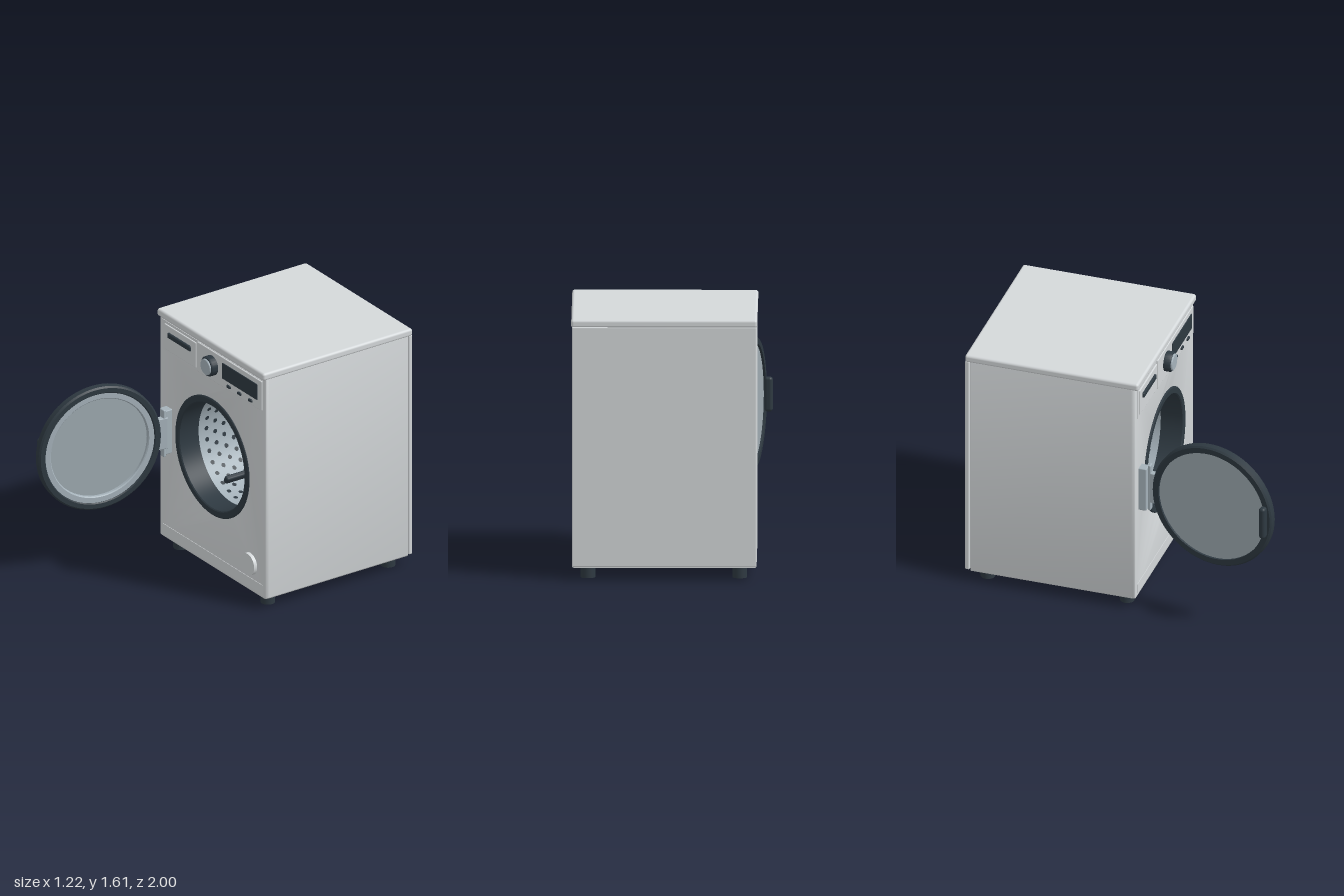
import * as THREE from 'three';
import { mergeGeometries, toCreasedNormals } from 'three/addons/utils/BufferGeometryUtils.js';
import { RoundedBoxGeometry } from 'three/addons/geometries/RoundedBoxGeometry.js';

const CX = 0.04; // cabinet centre line
const DOOR_Y = 0.822;

function material(name, color, side = THREE.FrontSide) {
  const m = new THREE.MeshStandardMaterial({ color, side });
  m.name = name;
  return m;
}

// Rounded rectangle outline, used for both shapes and holes
function roundedRect(path, x0, y0, x1, y1, r) {
  path.moveTo(x0 + r, y0);
  path.lineTo(x1 - r, y0);
  path.absarc(x1 - r, y0 + r, r, -Math.PI / 2, 0);
  path.lineTo(x1, y1 - r);
  path.absarc(x1 - r, y1 - r, r, 0, Math.PI / 2);
  path.lineTo(x0 + r, y1);
  path.absarc(x0 + r, y1 - r, r, Math.PI / 2, Math.PI);
  path.lineTo(x0, y0 + r);
  path.absarc(x0 + r, y0 + r, r, Math.PI, Math.PI * 1.5);
  return path;
}

function lathe(points, segments = 72) {
  const profile = points.map(([r, y]) => new THREE.Vector2(r, y));
  return toCreasedNormals(new THREE.LatheGeometry(profile, segments), 0.6);
}

export function createModel() {
  const model = new THREE.Group();
  model.name = 'washingMachine';

  const white = material('white enamel', 0xd4d8da);
  const dark = material('dark plastic', 0x2e3941);
  const steel = material('steel', 0xa5b2ba, THREE.DoubleSide);
  const glass = material('door glass', 0x9eaab1);

  function add(parent, name, geometry, mat, x = 0, y = 0, z = 0) {
    const mesh = new THREE.Mesh(geometry, mat);
    mesh.name = name;
    mesh.position.set(x, y, z);
    parent.add(mesh);
    return mesh;
  }

  // Box given by its two opposite corners
  function block(parent, name, mat, [x0, y0, z0], [x1, y1, z1], r = 0) {
    const size = [x1 - x0, y1 - y0, z1 - z0];
    const geo = r ? new RoundedBoxGeometry(...size, 3, r) : new THREE.BoxGeometry(...size);
    return add(parent, name, geo, mat, (x0 + x1) / 2, (y0 + y1) / 2, (z0 + z1) / 2);
  }

  // Cabinet: wrap-around shell, front with door opening, back panel and worktop
  const cabinet = new THREE.Group();
  cabinet.name = 'cabinet';
  model.add(cabinet);

  const shell = roundedRect(new THREE.Shape(), -0.525, 0.07, 0.605, 1.58, 0.015);
  shell.holes.push(roundedRect(new THREE.Path(), -0.5, 0.095, 0.58, 1.555, 0.005));
  add(cabinet, 'shell', toCreasedNormals(new THREE.ExtrudeGeometry(shell, {
    depth: 1.04, bevelEnabled: false, curveSegments: 4,
  }), 0.6), white, 0, 0, -0.965);

  const front = roundedRect(new THREE.Shape(), -0.515, 0.08, 0.595, 1.57, 0.01);
  front.holes.push(new THREE.Path().absarc(CX, DOOR_Y, 0.38, 0, Math.PI * 2, true));
  add(cabinet, 'frontPanel', toCreasedNormals(new THREE.ExtrudeGeometry(front, {
    depth: 0.015, bevelSize: 0.01, bevelThickness: 0.01, bevelSegments: 3, curveSegments: 36,
  }), 0.6), white, 0, 0, 0.072);

  block(cabinet, 'backSeam', white, [-0.51, 0.085, -0.98], [0.59, 1.57, -0.95]);
  block(cabinet, 'backPanel', white, [-0.525, 0.08, -1], [0.605, 1.57, -0.972], 0.008);
  block(cabinet, 'worktop', white, [-0.529, 1.563, -1], [0.609, 1.613, 0.117], 0.016);
  block(cabinet, 'plinth', white, [-0.49, 0.1, 0.09], [0.577, 0.16, 0.1]);

  // Feet
  for (const x of [-0.422, 0.507]) {
    for (const z of [0.013, -0.885]) {
      add(model, 'foot', new THREE.CylinderGeometry(0.045, 0.045, 0.08, 32), dark, x, 0.04, z);
    }
  }

  // Pump filter cover
  const cover = add(model, 'filterCover', new THREE.CylinderGeometry(0.07, 0.072, 0.025, 48), white, 0.442, 0.257, 0.106);
  cover.rotation.x = Math.PI / 2;

  // Control panel with detergent drawer, display, buttons and dial
  const controls = new THREE.Group();
  controls.name = 'controlPanel';
  model.add(controls);
  block(controls, 'panelBase', white, [-0.49, 1.345, 0.09], [0.577, 1.55, 0.1]);
  block(controls, 'fascia', white, [-0.115, 1.347, 0.09], [0.575, 1.547, 0.108], 0.005);
  block(controls, 'drawer', white, [-0.463, 1.36, 0.09], [-0.126, 1.532, 0.108], 0.005);
  block(controls, 'drawerHandle', dark, [-0.416, 1.455, 0.1], [-0.173, 1.49, 0.121], 0.009);
  block(controls, 'display', dark, [0.16, 1.406, 0.1], [0.532, 1.513, 0.113], 0.004);
  for (const x of [0.23, 0.345, 0.46]) {
    block(controls, 'button', dark, [x - 0.019, 1.367, 0.1], [x + 0.019, 1.386, 0.119], 0.007);
  }
  const dial = new THREE.Group();
  dial.name = 'dial';
  dial.position.set(0.05, 1.453, 0);
  dial.rotation.x = Math.PI / 2;
  controls.add(dial);
  add(dial, 'dialBody', lathe([[0, 0.1], [0.064, 0.1], [0.064, 0.143], [0.058, 0.152], [0, 0.152]], 48), dark);
  add(dial, 'dialCap', lathe([[0.052, 0.15], [0.052, 0.158], [0.048, 0.162], [0, 0.162]], 48), steel);

  // Door seal and drum, turned about the z axis
  const drum = new THREE.Group();
  drum.name = 'drum';
  drum.position.set(CX, DOOR_Y, 0);
  model.add(drum);
  add(drum, 'doorSeal', lathe([
    [0.346, -0.04], [0.368, -0.04], [0.368, 0.088], [0.393, 0.088], [0.393, 0.101],
    [0.386, 0.106], [0.352, 0.106], [0.346, 0.1], [0.346, -0.04],
  ]), dark).rotation.x = Math.PI / 2;
  add(drum, 'drumWall', lathe([[0, -0.8], [0.352, -0.8], [0.352, -0.03]]), steel).rotation.x = Math.PI / 2;

  // Staggered perforations
  const holes = [];
  const rows = 11, perRow = 30;
  for (let row = 0; row < rows; row++) {
    for (let i = 0; i < perRow; i++) {
      const a = ((i + (row % 2) / 2) / perRow) * Math.PI * 2;
      holes.push(new THREE.CircleGeometry(0.015, 8)
        .rotateY(-Math.PI / 2)
        .translate(0.348, 0, -0.1 - row * 0.064)
        .rotateZ(a));
    }
  }
  add(drum, 'perforations', mergeGeometries(holes), dark);

  // Lifter bars
  for (let i = 0; i < 3; i++) {
    const a = (i * Math.PI * 2) / 3;
    const bar = add(drum, 'lifter', new RoundedBoxGeometry(0.05, 0.036, 0.62, 3, 0.012), dark,
      Math.cos(a) * 0.326, Math.sin(a) * 0.326, -0.42);
    bar.rotation.z = a;
  }

  // Hinge
  const hinge = new THREE.Group();
  hinge.name = 'hinge';
  model.add(hinge);
  block(hinge, 'hingeBase', steel, [-0.456, 0.675, 0.09], [-0.392, 0.972, 0.146], 0.006);
  block(hinge, 'hingePlate', steel, [-0.425, 0.665, 0.146], [-0.385, 0.983, 0.164], 0.006);
  block(hinge, 'hingeArm', steel, [-0.425, 0.72, 0.13], [-0.385, 0.93, 0.2], 0.006).rotation.y = -0.17;

  // Open door: its inner face looks along local +x
  const door = new THREE.Group();
  door.name = 'door';
  door.position.set(-0.478, DOOR_Y, 0.588);
  door.rotation.y = -0.172;
  model.add(door);
  const turned = new THREE.Group();
  turned.name = 'doorDisc';
  turned.rotation.z = -Math.PI / 2;
  door.add(turned);
  add(turned, 'doorFrame', lathe([
    [0.368, -0.03], [0.403, -0.03], [0.413, -0.02], [0.413, 0.02],
    [0.403, 0.03], [0.374, 0.03], [0.368, 0.024], [0.368, -0.03],
  ]), dark);
  add(turned, 'innerRim', lathe([
    [0.328, -0.008], [0.37, -0.008], [0.37, 0.022], [0.334, 0.022], [0.328, 0.016], [0.328, -0.008],
  ]), steel);
  add(turned, 'doorGlass', lathe([[0, -0.016], [0.37, -0.016], [0.37, -0.002], [0, -0.002]]), glass);

  // Door handle on the free edge of the outer face
  add(door, 'doorHandle', new RoundedBoxGeometry(0.05, 0.215, 0.042, 4, 0.018), dark, -0.047, 0, 0.366);

  return model;
}
